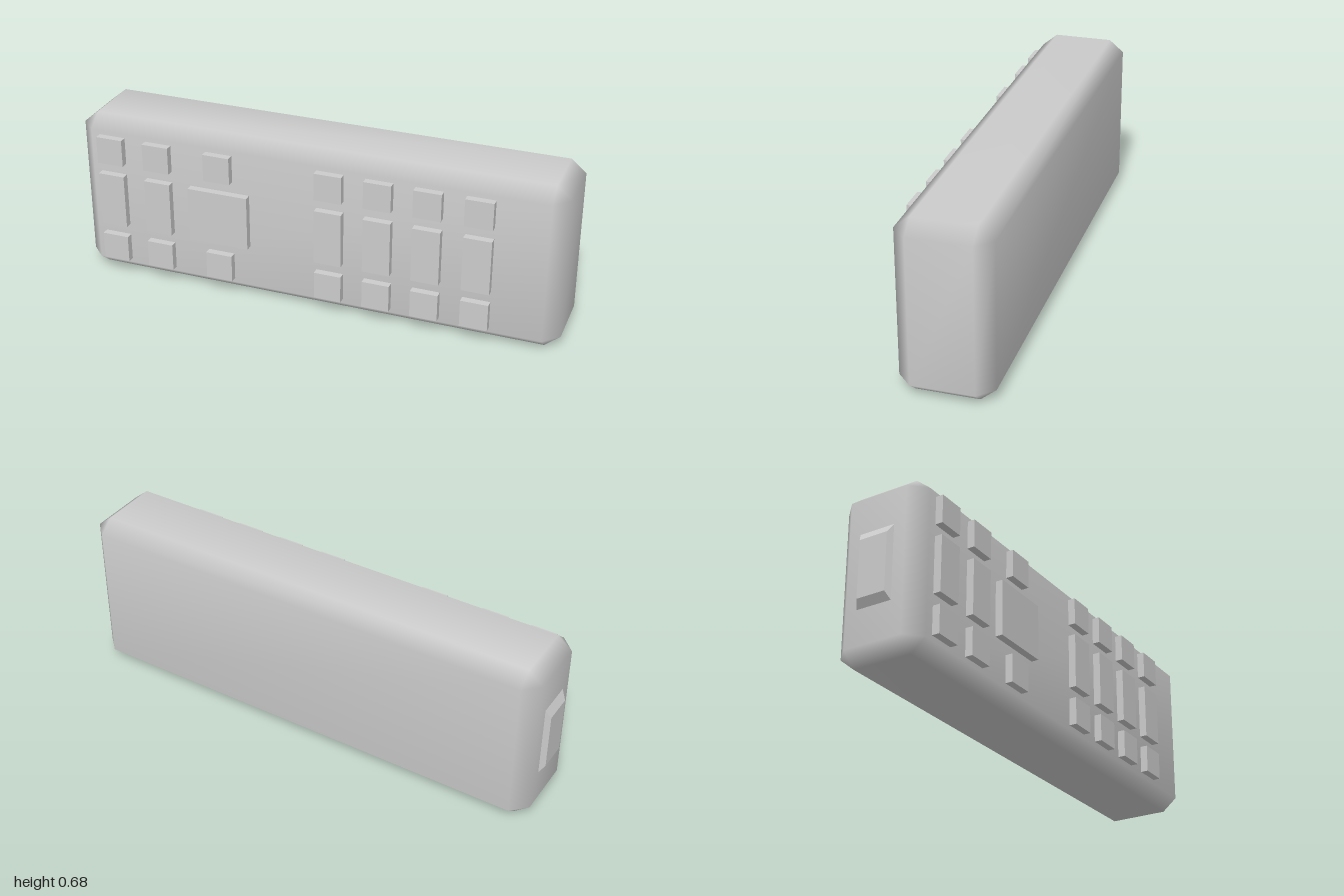
import * as THREE from 'three';
import { mergeVertices } from 'three/addons/utils/BufferGeometryUtils.js';
import { ConvexGeometry } from 'three/addons/geometries/ConvexGeometry.js';

const material = new THREE.MeshStandardMaterial({ color: 0xcccccc });

function addMesh(parent, name, geometry) {
  const mesh = new THREE.Mesh(geometry, material);
  mesh.name = name;
  parent.add(mesh);
  return mesh;
}

// Box with every edge cut by one bevel and shaded smooth
function beveledBox(size, bevel) {
  const points = [];
  for (const sx of [-1, 1]) for (const sy of [-1, 1]) for (const sz of [-1, 1]) {
    const signs = [sx, sy, sz];
    // Each corner becomes three points, one on each neighbouring face
    for (let face = 0; face < 3; face++) {
      points.push(new THREE.Vector3(...signs.map((s, i) =>
        s * (size[i] / 2 - (i === face ? 0 : bevel[i])))));
    }
  }
  let geometry = new ConvexGeometry(points);
  geometry.deleteAttribute('normal');
  geometry = mergeVertices(geometry, 1e-4);
  geometry.computeVertexNormals();
  return geometry;
}

export function createModel() {
  const model = new THREE.Group();
  model.name = 'keypadBar';

  // Main body
  addMesh(model, 'body', beveledBox([1.98, 0.68, 0.36], [0.06, 0.05, 0.06]))
    .position.set(0.01, 0.34, -0.015);

  // Tapered cap on the right end
  const cap = [];
  for (const [x, y0, y1, z0, z1] of [
    [-0.97, 0.175, 0.505, -0.095, 0.065],
    [-1, 0.222, 0.453, -0.075, 0.043],
  ]) {
    for (const y of [y0, y1]) for (const z of [z0, z1]) cap.push(new THREE.Vector3(x, y, z));
  }
  addMesh(model, 'endCap', new ConvexGeometry(cap));

  // Front buttons: a small, a tall and a small one in each column
  const buttons = new THREE.Group();
  buttons.name = 'buttons';
  model.add(buttons);
  const rows = [[0.125, 0.112], [0.34, 0.225], [0.556, 0.112]];
  const wideColumn = -0.37;
  for (const x of [-0.83, -0.63, wideColumn, 0.09, 0.287, 0.482, 0.68]) {
    rows.forEach(([y, height], row) => {
      const wide = x === wideColumn && row === 1;
      addMesh(buttons, wide ? 'wideButton' : 'button',
        new THREE.BoxGeometry(wide ? 0.25 : 0.11, height, 0.045)).position.set(x, y, 0.1725);
    });
  }
  return model;
}
